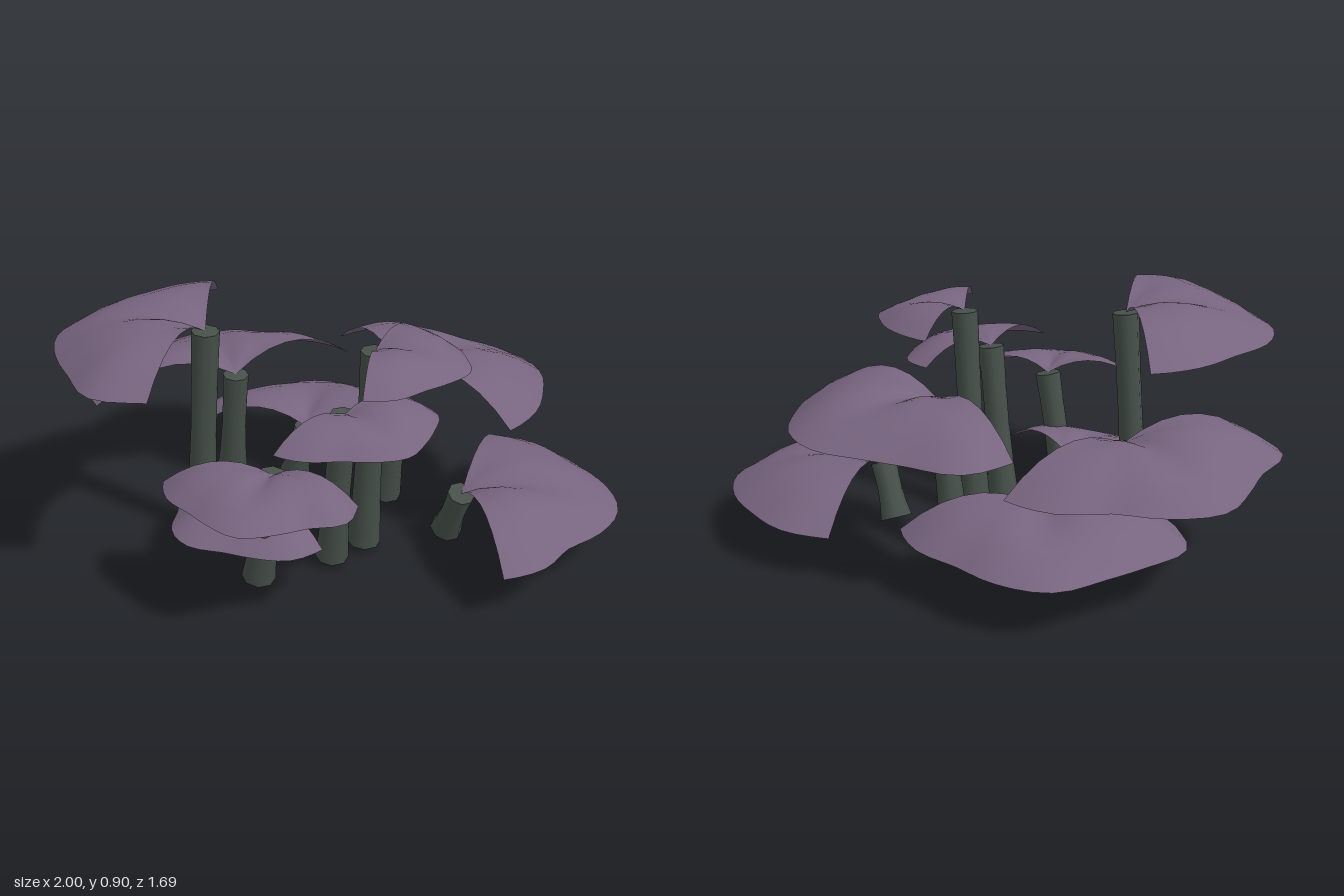
import * as THREE from 'three';

const capMaterial = new THREE.MeshStandardMaterial({ color: 0x77647f, side: THREE.DoubleSide });
capMaterial.name = 'dusty purple';
const stemMaterial = new THREE.MeshStandardMaterial({ color: 0x465049 });
stemMaterial.name = 'dark grey green';

// Leaning stalk, widest at the foot with a slight waist below the top
function makeStem(base, top) {
  const a = new THREE.Vector3(...base), b = new THREE.Vector3(...top);
  const length = a.distanceTo(b);
  const geo = new THREE.CylinderGeometry(0.05, 0.06, length, 8, 4);
  const p = geo.attributes.position;
  for (let i = 0; i < p.count; i++) {
    const t = p.getY(i) / length + 0.5;
    const k = 1 - 0.16 * Math.sin(Math.PI * t);
    p.setXYZ(i, p.getX(i) * k, p.getY(i), p.getZ(i) * k);
  }
  const mesh = new THREE.Mesh(geo, stemMaterial);
  mesh.name = 'stem';
  mesh.position.copy(a).lerp(b, 0.5);
  mesh.quaternion.setFromUnitVectors(new THREE.Vector3(0, 1, 0), b.sub(a).normalize());
  return mesh;
}

// Wavy half-round fan: rises from its root, then droops to a lobed rim.
// Angles are degrees from +x towards +z; radii are evenly spaced between them.
function makeFan([cx, cy, cz], from, to, radii) {
  const rings = 7, steps = 24;
  const rim = new THREE.SplineCurve(radii.map((r, i) => new THREE.Vector2(i, r)));
  const size = radii.reduce((s, r) => s + r, 0) / radii.length;
  const pos = [cx, cy, cz], index = [];
  for (let j = 1; j <= rings; j++) {
    const t = j / rings;
    for (let i = 0; i <= steps; i++) {
      const u = i / steps;
      const ang = THREE.MathUtils.degToRad(from + (to - from) * u);
      const r = rim.getPoint(u).y * t;
      const valley = 0.06 * Math.sin(Math.PI * t) * Math.exp(-(((u - 0.5) / 0.12) ** 2));
      const y = size * (0.65 * t - 0.75 * t * t - valley);
      pos.push(cx + r * Math.cos(ang), cy + y, cz + r * Math.sin(ang));
    }
  }
  const id = (j, i) => (j === 0 ? 0 : 1 + (j - 1) * (steps + 1) + i);
  for (let j = 0; j < rings; j++) {
    for (let i = 0; i < steps; i++) {
      index.push(id(j, i), id(j + 1, i + 1), id(j + 1, i));
      if (j > 0) index.push(id(j, i), id(j, i + 1), id(j + 1, i + 1));
    }
  }
  const geo = new THREE.BufferGeometry();
  geo.setAttribute('position', new THREE.Float32BufferAttribute(pos, 3));
  geo.setIndex(index);
  geo.computeVertexNormals();
  const mesh = new THREE.Mesh(geo, capMaterial);
  mesh.name = 'fanCap';
  return mesh;
}

export function createModel() {
  const model = new THREE.Group();
  model.name = 'fanCluster';

  // One stalk with its fan; foot is [x, z], top is [x, y, z]
  function frond(name, foot, top, from, to, radii) {
    const group = new THREE.Group();
    group.name = name;
    group.add(makeStem([foot[0], 0.025, foot[1]], top), makeFan(top, from, to, radii));
    model.add(group);
  }

  // Tall fronds
  frond('tallRightFrond', [-0.52, 0.04], [-0.47, 0.82, 0.1], 272, 109,
    [0.54, 0.52, 0.495, 0.53, 0.54, 0.515, 0.51, 0.555, 0.5].slice().map((r) => r)
  );
  frond('tallFrontFrond', [0.08, 0.2], [0.11, 0.8, 0.25], -58, 100,
    [0.305, 0.3, 0.305, 0.315, 0.335, 0.31, 0.3, 0.33, 0.335]);

  // Middle fronds
  frond('middleFrontFrond', [-0.04, 0.3], [0, 0.62, 0.37], -30, 136,
    [0.3, 0.33, 0.31, 0.31, 0.33, 0.3, 0.28, 0.31, 0.33]);
  frond('middleLeftFrond', [0.18, -0.15], [0.23, 0.57, -0.08], 246, 408,
    [0.52, 0.56, 0.49, 0.485, 0.535, 0.545, 0.52, 0.52, 0.52]);
  frond('middleBackFrond', [-0.42, -0.37], [-0.39, 0.47, -0.31], 163, 325,
    [0.54, 0.57, 0.49, 0.5, 0.55, 0.515, 0.47, 0.53, 0.55]);
  frond('middleRightFrond', [-0.3, 0.43], [-0.24, 0.46, 0.49], 30, 185,
    [0.32, 0.36, 0.32, 0.335, 0.365, 0.34, 0.33, 0.36, 0.37]);

  // Low fronds
  frond('lowLeftFrond', [0.39, 0.12], [0.43, 0.22, 0.21], -69, 80,
    [0.58, 0.59, 0.57, 0.575, 0.565, 0.51, 0.455, 0.49, 0.5]);
  frond('lowBackFrond', [-0.17, -0.35], [-0.12, 0.24, -0.31], 192, 358,
    [0.46, 0.53, 0.49, 0.49, 0.54, 0.51, 0.47, 0.5, 0.51]);
  frond('lowRightFrond', [-0.33, 0.17], [-0.28, 0.21, 0.25], 52, 227,
    [0.33, 0.34, 0.31, 0.3, 0.34, 0.34, 0.31, 0.33, 0.33]);

  return model;
}
